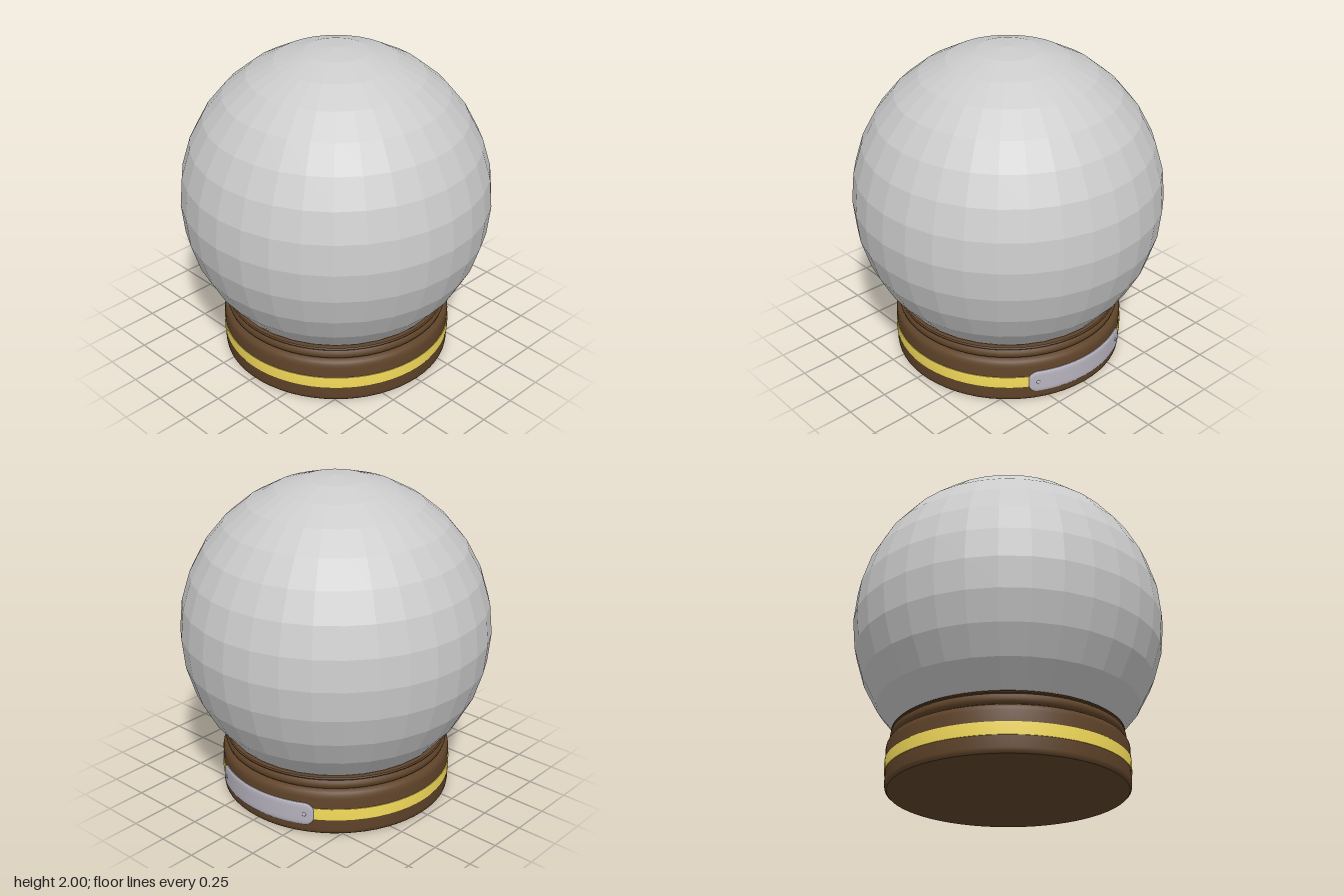
import * as THREE from 'three';
import { toCreasedNormals } from 'three/addons/utils/BufferGeometryUtils.js';

const material = (color, flatShading = false) => new THREE.MeshStandardMaterial({ color, flatShading });

function addPart(parent, name, geometry, mat) {
  const mesh = new THREE.Mesh(geometry, mat);
  mesh.name = name;
  parent.add(mesh);
  return mesh;
}

// Turned ring or solid from [radius, height] pairs, bottom to top
function turned(profile) {
  const points = profile.map(([r, y]) => new THREE.Vector2(r, y));
  return toCreasedNormals(new THREE.LatheGeometry(points, 64), 0.7);
}

// Plate with rounded corners, bent around the base on the +x side
function bentPlate(radius, thickness, halfAngle, halfHeight, corner) {
  const geo = new THREE.BoxGeometry(2, 2, 1, 48, 12, 1);
  const pos = geo.attributes.position;
  const halfLength = halfAngle * radius;
  for (let i = 0; i < pos.count; i++) {
    // crowd the columns towards both ends so that the corners stay round
    const s = halfLength * Math.sin(pos.getX(i) * Math.PI / 2);
    const v = Math.sin(pos.getY(i) * Math.PI / 2);
    const over = Math.max(0, Math.abs(s) - (halfLength - corner));
    const h = halfHeight - corner + Math.sqrt(Math.max(0, corner * corner - over * over));
    const edge = Math.max(Math.abs(v), Math.abs(s) / halfLength > 0.99 ? 1 : 0);
    const r = pos.getZ(i) > 0 ? radius - 0.008 * edge ** 10 : radius - thickness;
    const a = s / radius;
    pos.setXYZ(i, r * Math.cos(a), v * h, -r * Math.sin(a));
  }
  geo.computeVertexNormals();
  return geo;
}

export function createModel() {
  const model = new THREE.Group();
  model.name = 'snowGlobe';
  const wood = material(0x60442a);
  const gold = material(0xf5dc5a);
  const metal = material(0xb8b4c0);

  // Faceted glass ball, its open lower end sunk into the base
  const ball = new THREE.SphereGeometry(0.95, 32, 13, 0, Math.PI * 2, 0, Math.PI * 13 / 16);
  const glass = material(0xcccccc, true);
  glass.side = THREE.DoubleSide;
  addPart(model, 'glassBall', ball, glass).position.y = 1.05;

  // Turned wooden base with a bead and a thin rim on top
  addPart(model, 'base', turned([
    [0, 0], [0.705, 0], [0.715, 0.01], [0.718, 0.03], [0.718, 0.24],
    [0.715, 0.26], [0.705, 0.277], [0.685, 0.287], [0.675, 0.29],
    [0.683, 0.294], [0.692, 0.303], [0.697, 0.32], [0.694, 0.338], [0.685, 0.347],
    [0.68, 0.35], [0.69, 0.354], [0.692, 0.36], [0.685, 0.366], [0.64, 0.366], [0, 0.36],
  ]), wood);

  // Gold band around the base
  addPart(model, 'band', turned([
    [0.71, 0.1], [0.722, 0.1], [0.723, 0.137], [0.722, 0.174], [0.71, 0.174],
  ]), gold);

  // Name plate with a rivet at each end
  const plate = new THREE.Group();
  plate.name = 'namePlate';
  plate.position.y = 0.132;
  addPart(plate, 'plate', bentPlate(0.73, 0.03, 0.55, 0.073, 0.06), metal);
  for (const side of [-1, 1]) {
    const a = side * 0.468;
    const rivet = addPart(plate, 'rivet', new THREE.SphereGeometry(0.013, 12, 8), metal);
    rivet.position.set(0.729 * Math.cos(a), 0, 0.729 * Math.sin(a));
    rivet.rotation.y = -a;
    rivet.scale.x = 0.5;
  }
  model.add(plate);

  return model;
}
